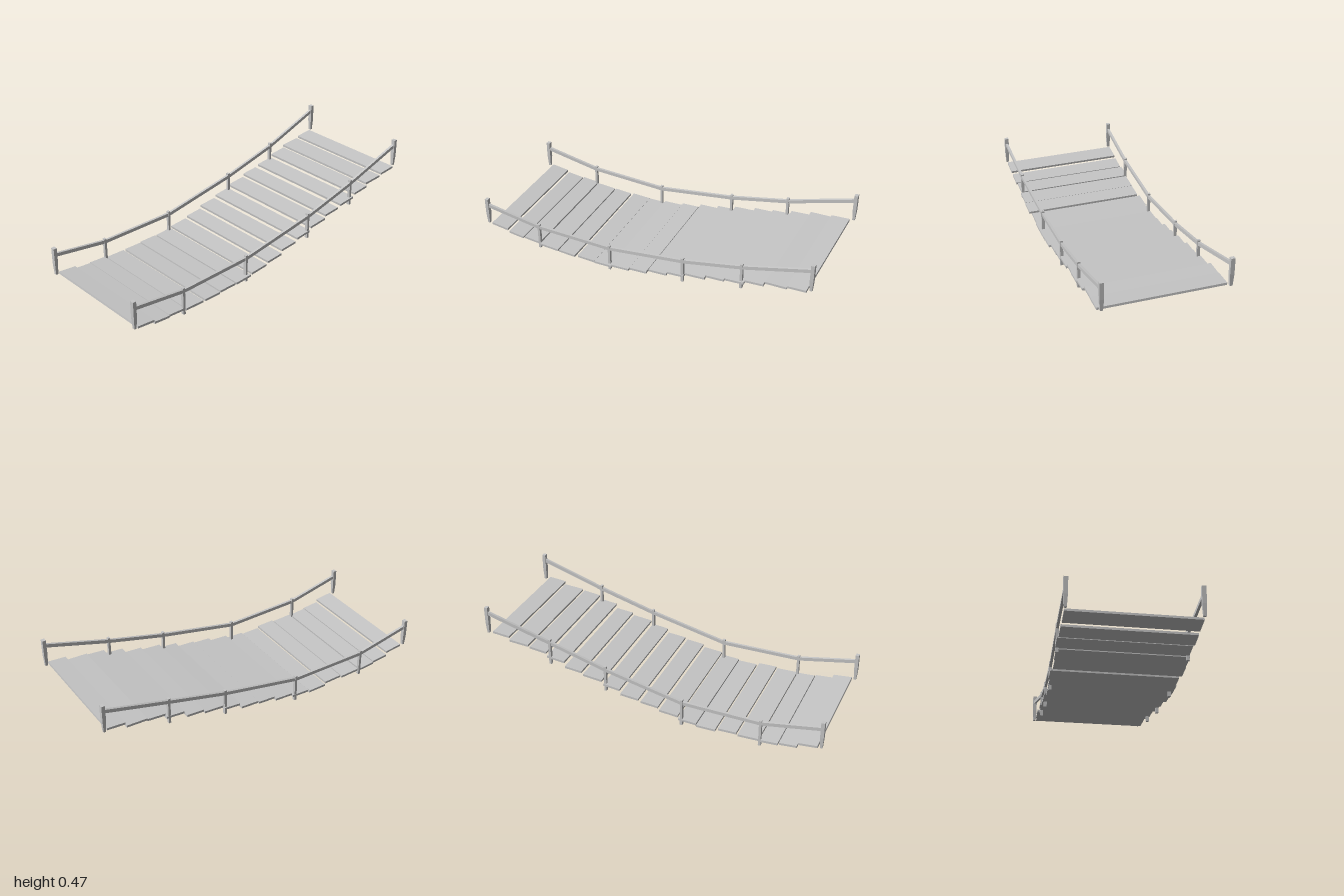
import * as THREE from 'three';

export function createModel() {
  const bridge = new THREE.Group();
  bridge.name = 'hangingBridge';
  const wood = new THREE.MeshStandardMaterial({ color: 0xc6c6c6 });
  wood.name = 'greyWood';

  const add = (name, geometry, x, y, z) => {
    const mesh = new THREE.Mesh(geometry, wood);
    mesh.name = name;
    mesh.position.set(x, y, z);
    bridge.add(mesh);
    return mesh;
  };

  // Planks: [front z, back z, front y, back y, sideways shift], at mid thickness
  const planks = [
    [0.97, 0.865, 0.081, 0.07, 0],
    [0.86, 0.762, 0.052, 0.043, -0.005],
    [0.757, 0.655, 0.042, 0.035, -0.012],
    [0.648, 0.53, 0.033, 0.029, -0.005],
    [0.52, 0.415, 0.034, 0.031, 0],
    [0.402, 0.292, 0.027, 0.026, -0.012],
    [0.288, 0.182, 0.03, 0.035, -0.005],
    [0.178, 0.068, 0.048, 0.056, 0],
    [0.058, -0.045, 0.072, 0.08, 0.004],
    [-0.057, -0.165, 0.096, 0.104, -0.004],
    [-0.173, -0.272, 0.126, 0.136, 0.002],
    [-0.282, -0.397, 0.157, 0.167, 0.003],
    [-0.405, -0.508, 0.185, 0.193, 0],
    [-0.518, -0.626, 0.215, 0.225, 0.012],
    [-0.632, -0.737, 0.247, 0.257, 0.015],
    [-0.742, -0.862, 0.271, 0.277, 0.006],
    [-0.866, -0.97, 0.294, 0.302, 0.014],
  ];
  for (const [z0, z1, y0, y1, shift] of planks) {
    const length = Math.hypot(z0 - z1, y1 - y0);
    const plank = add('plank', new THREE.BoxGeometry(0.685, 0.013, length), shift, (y0 + y1) / 2, (z0 + z1) / 2);
    plank.rotation.x = Math.atan2(y1 - y0, z0 - z1);
  }

  // End posts narrow towards the foot; bottom is the origin
  const endPostGeometry = () => {
    const height = 0.165;
    const geometry = new THREE.BoxGeometry(0.023, height, 0.02, 1, 2, 1);
    const p = geometry.attributes.position;
    for (let i = 0; i < p.count; i++) {
      const y = p.getY(i);
      if (Math.abs(y) < 0.001) p.setY(i, -0.015);
      if (y < -0.01) {
        p.setX(i, p.getX(i) * 0.65);
        p.setZ(i, p.getZ(i) * 0.65);
      }
    }
    geometry.translate(0, height / 2, 0);
    const flat = geometry.toNonIndexed();
    flat.computeVertexNormals();
    return flat;
  };

  // Post stations: z, foot y, top y, rail y, right x, left x
  const stations = [
    { z: 0.99, foot: 0.083, top: 0.248, rail: 0.205, xs: [-0.339, 0.339], end: true },
    { z: 0.655, foot: 0.003, top: 0.165, rail: 0.146, xs: [-0.345, 0.323] },
    { z: 0.2, foot: 0, top: 0.165, rail: 0.144, xs: [-0.338, 0.315] },
    { z: -0.262, foot: 0.095, top: 0.252, rail: 0.231, xs: [-0.326, 0.333] },
    { z: -0.607, foot: 0.182, top: 0.34, rail: 0.318, xs: [-0.321, 0.338] },
    { z: -0.99, foot: 0.305, top: 0.47, rail: 0.434, xs: [-0.338, 0.338], end: true },
  ];
  for (const side of [0, 1]) {
    const word = side ? 'left' : 'right';
    stations.forEach((s, i) => {
      const x = s.xs[side];
      if (s.end) {
        add(word + 'EndPost', endPostGeometry(), x, s.foot, s.z);
      } else {
        add(word + 'MiddlePost', new THREE.BoxGeometry(0.017, s.top - s.foot, 0.014), x, (s.top + s.foot) / 2, s.z);
      }

      // Straight rail to the next post
      const next = stations[i + 1];
      if (!next) return;
      const a = new THREE.Vector3(x, s.rail, s.z);
      const b = new THREE.Vector3(next.xs[side], next.rail, next.z);
      const mid = a.clone().add(b).multiplyScalar(0.5);
      const rail = add(word + 'Rail', new THREE.BoxGeometry(0.014, 0.02, a.distanceTo(b)), mid.x, mid.y, mid.z);
      rail.lookAt(b);
    });
  }
  return bridge;
}
